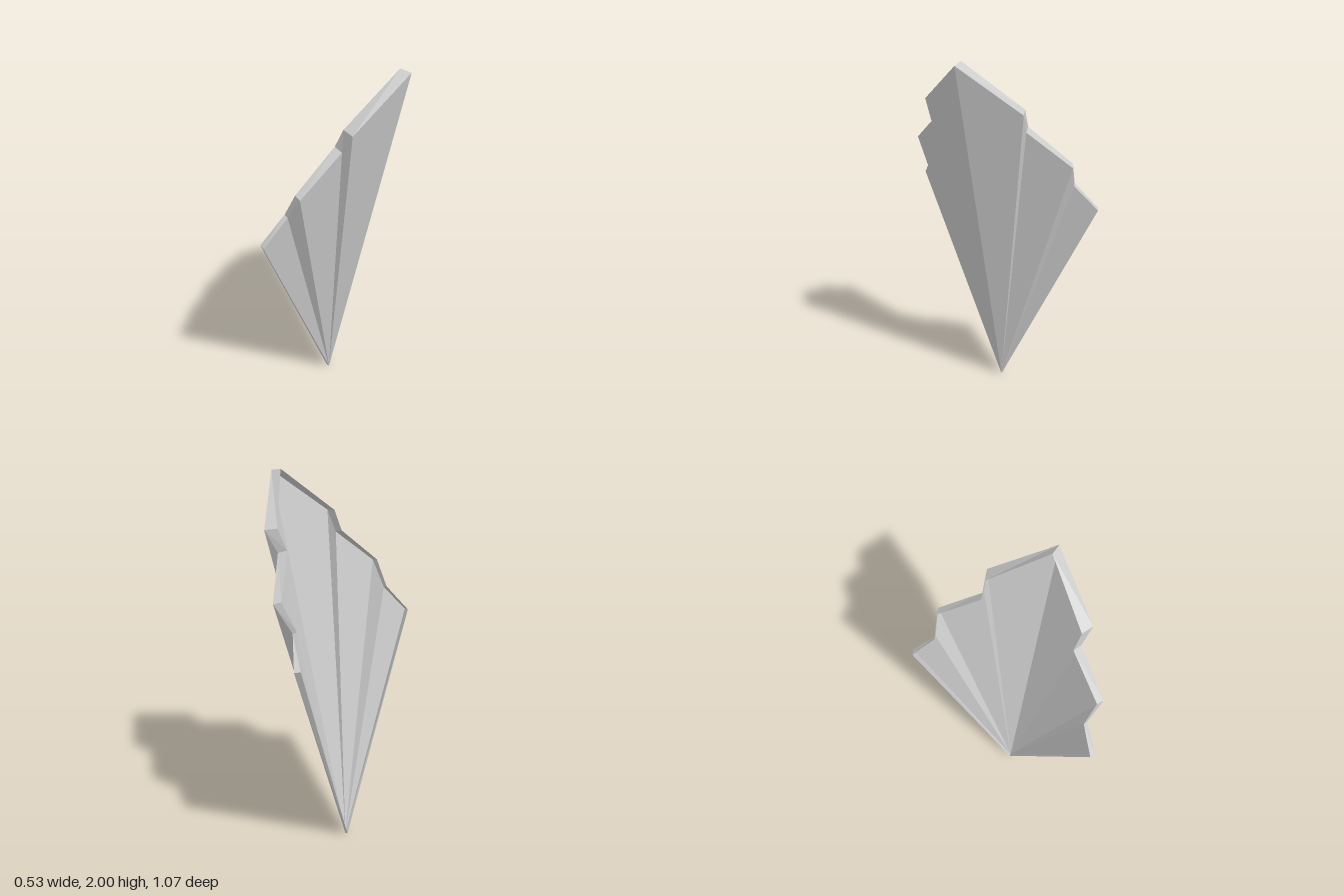
import * as THREE from 'three';

// Half fan (+z) from the centre ridge to the side tip: [fold end, edge of the turned-in rim]
const HALF_RIM = [
  [[0.267, 1.99, 0], [0.21, 2.0, 0]],             // centre ridge
  [[0.11, 1.76, 0.275], [0.05, 1.77, 0.25]],      // first shoulder
  [[0.045, 1.655, 0.257], [0, 1.67, 0.243]],      // first valley
  [[-0.07, 1.475, 0.457], [-0.105, 1.485, 0.44]], // second shoulder
  [[-0.16, 1.34, 0.43], [-0.18, 1.35, 0.423]],    // second valley
  [[-0.24, 1.2, 0.535], [-0.267, 1.205, 0.52]],   // side tip
];
const FOLD_APEX = [-0.203, 0, 0];
const RIM_APEX = [-0.217, 0.002, 0];

function meshFromTriangles(name, triangles, material) {
  const geometry = new THREE.BufferGeometry();
  geometry.setAttribute('position', new THREE.Float32BufferAttribute(triangles.flat(2), 3));
  geometry.computeVertexNormals();
  const mesh = new THREE.Mesh(geometry, material);
  mesh.name = name;
  return mesh;
}

const quad = (a, b, c, d) => [[a, b, c], [a, c, d]];

export function createModel() {
  const group = new THREE.Group();
  group.name = 'pleatedFan';
  const material = new THREE.MeshStandardMaterial({
    color: 0xcccccc, flatShading: true, side: THREE.DoubleSide,
  });

  // Full rim, running from the +z tip over the ridge to the -z tip
  const mirrored = HALF_RIM.slice(1).map((pair) => pair.map(([x, y, z]) => [x, y, -z]));
  const rim = [...HALF_RIM].reverse().concat(mirrored);

  // Thin pleated sheet with a stepped rim turned in along its top
  const pleats = [], steppedRim = [];
  for (let i = 0; i < rim.length - 1; i++) {
    const [fold0, edge0] = rim[i];
    const [fold1, edge1] = rim[i + 1];
    pleats.push([FOLD_APEX, fold1, fold0]);
    steppedRim.push(...quad(fold0, fold1, edge1, edge0));
  }

  // Tapering rims down both sides
  const [firstFold, firstEdge] = rim[0];
  const [lastFold, lastEdge] = rim[rim.length - 1];
  const sideRims = [
    ...quad(FOLD_APEX, firstFold, firstEdge, RIM_APEX),
    ...quad(RIM_APEX, lastEdge, lastFold, FOLD_APEX),
  ];

  group.add(
    meshFromTriangles('pleats', pleats, material),
    meshFromTriangles('steppedRim', steppedRim, material),
    meshFromTriangles('sideRims', sideRims, material),
  );
  return group;
}
